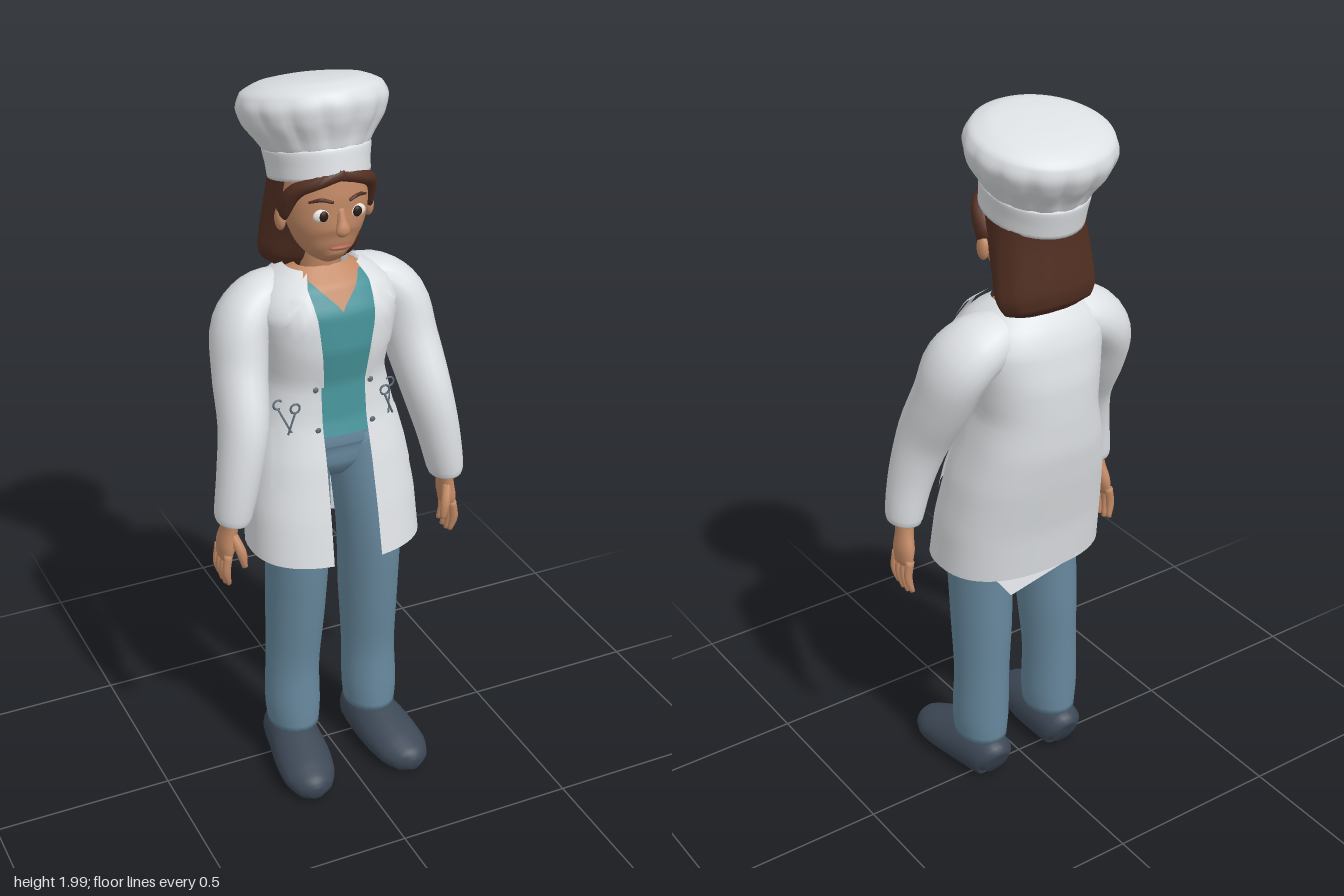
import * as THREE from 'three';
import { mergeVertices } from 'three/addons/utils/BufferGeometryUtils.js';

const mat = (name, color, side = THREE.FrontSide) => {
  const m = new THREE.MeshStandardMaterial({ color, side });
  m.name = name;
  return m;
};

// Sections of the coat, bottom up: y, half width, front z, back z, half opening
const SECTIONS = [
  [0.72, 0.24, 0.2, -0.15, 0.07], [0.85, 0.235, 0.175, -0.165, 0.068],
  [1.0, 0.215, 0.14, -0.195, 0.065], [1.1, 0.19, 0.11, -0.212, 0.063],
  [1.2, 0.168, 0.1, -0.215, 0.062], [1.3, 0.18, 0.118, -0.213, 0.07],
  [1.4, 0.2, 0.113, -0.193, 0.09], [1.46, 0.165, 0.08, -0.165, 0.095],
  [1.5, 0.1, 0.03, -0.12, 0.075],
];
const POWER = 2.4;

function section(y) {
  let i = 0;
  while (i < SECTIONS.length - 2 && y > SECTIONS[i + 1][0]) i++;
  const a = SECTIONS[i], b = SECTIONS[i + 1];
  const k = THREE.MathUtils.clamp((y - a[0]) / (b[0] - a[0]), 0, 1);
  return a.map((v, j) => v + (b[j] - v) * k);
}

// Front z of the coat at a given x and y
function coatZ(x, y) {
  const [, w, f, b] = section(y);
  const c = (f + b) / 2;
  return c + (f - c) * Math.max(0, 1 - (Math.abs(x) / w) ** POWER) ** (1 / POWER);
}

function meshGeometry(pos, idx) {
  const g = new THREE.BufferGeometry();
  g.setAttribute('position', new THREE.Float32BufferAttribute(pos, 3));
  g.setIndex(idx);
  const m = mergeVertices(g, 1e-5);
  m.computeVertexNormals();
  return m;
}

function gridIndex(rows, cols) {
  const idx = [];
  for (let i = 0; i < rows; i++) for (let j = 0; j < cols; j++) {
    const a = i * (cols + 1) + j, c = a + cols + 1;
    idx.push(a, a + 1, c, a + 1, c + 1, c);
  }
  return idx;
}

// Garment shell following the sections, open at the front where opening > 0
function shell(y0, y1, inset, opening) {
  const rows = 32, cols = 44, pos = [];
  for (let i = 0; i <= rows; i++) {
    const y = y0 + (y1 - y0) * i / rows;
    const [, w0, f, b, o] = section(y);
    const w = w0 - inset, c = (f + b) / 2, d = (f - b) / 2 - inset;
    const t0 = Math.asin(Math.min(1, opening(y, o) / w) ** (POWER / 2));
    for (let j = 0; j <= cols; j++) {
      const t = t0 + (2 * Math.PI - 2 * t0) * j / cols, s = Math.sin(t), k = Math.cos(t);
      pos.push(w * Math.sign(s) * Math.abs(s) ** (2 / POWER), y, c + d * Math.sign(k) * Math.abs(k) ** (2 / POWER));
    }
  }
  return meshGeometry(pos, gridIndex(rows, cols));
}

// Four-cornered cloth patch laid over the coat front
function patch(s, p00, p10, p01, p11, offset) {
  const n = 8, pos = [], mix = THREE.MathUtils.lerp;
  for (let i = 0; i <= n; i++) for (let j = 0; j <= n; j++) {
    const u = j / n, v = i / n;
    const x = mix(mix(p00[0], p10[0], u), mix(p01[0], p11[0], u), v);
    const y = mix(mix(p00[1], p10[1], u), mix(p01[1], p11[1], u), v);
    pos.push(s * x, y, coatZ(x, y) + offset);
  }
  const idx = gridIndex(n, n);
  return meshGeometry(pos, s > 0 ? idx : idx.reverse());
}

// Capped tube with elliptical rings; points are [x, y, z, rx, ry]
function limb(points, seg = 16, steps = 4, rule = () => 1) {
  const path = new THREE.CatmullRomCurve3(points.map(p => new THREE.Vector3(p[0], p[1], p[2])));
  const radii = new THREE.CatmullRomCurve3(points.map(p => new THREE.Vector3(p[3], p[4], 0)));
  const n = (points.length - 1) * steps, pos = [], idx = [];
  for (let i = 0; i <= n; i++) {
    const c = path.getPoint(i / n), r = radii.getPoint(i / n), T = path.getTangent(i / n);
    const X = new THREE.Vector3(1, 0, 0).addScaledVector(T, -T.x).normalize();
    const Y = T.clone().cross(X);
    for (let j = 0; j < seg; j++) {
      const a = j / seg * Math.PI * 2, k = rule(i / n, a);
      const p = c.clone().addScaledVector(X, r.x * k * Math.cos(a)).addScaledVector(Y, r.y * k * Math.sin(a));
      pos.push(p.x, p.y, p.z);
      if (i < n) {
        const A = i * seg + j, B = i * seg + (j + 1) % seg;
        idx.push(A, B, A + seg, B, B + seg, A + seg);
      }
    }
  }
  const start = pos.length / 3;
  pos.push(...points[0].slice(0, 3), ...points[points.length - 1].slice(0, 3));
  for (let j = 0; j < seg; j++) {
    const k = (j + 1) % seg;
    idx.push(start, k, j, start + 1, n * seg + j, n * seg + k);
  }
  return meshGeometry(pos, idx);
}

export function createModel() {
  const white = mat('white cloth', 0xdde0e3, THREE.DoubleSide);
  const skin = mat('skin', 0xc38a66), hair = mat('brown hair', 0x522f22);
  const teal = mat('teal shirt', 0x469399, THREE.DoubleSide), denim = mat('blue denim', 0x67889d);
  const shoeMat = mat('dark shoe', 0x3d4856), eyeWhite = mat('eye white', 0xe6dfd8);
  const iris = mat('dark iris', 0x2a1a14), lip = mat('lip', 0xa5624d), steel = mat('steel', 0x5d6c78);

  const root = new THREE.Group();
  const add = (name, geo, m, parent = root) => {
    const mesh = new THREE.Mesh(geo, m);
    mesh.name = name;
    parent.add(mesh);
    return mesh;
  };
  const ball = (name, m, x, y, z, sx, sy, sz) => {
    const b = add(name, new THREE.SphereGeometry(1, 16, 12), m);
    b.position.set(x, y, z);
    b.scale.set(sx, sy, sz);
  };

  // Clothing on the trunk
  add('coatBody', shell(0.72, 1.5, 0, (y, o) => o), white);
  add('shirt', shell(1.06, 1.485, 0.013, y => Math.max(0, (y - 1.41) * 1.0)), teal);
  add('chest', shell(1.3, 1.5, 0.028, () => 0), skin);
  add('pelvis', limb([[0, 1.14, -0.04, 0.14, 0.13], [0, 1.0, -0.03, 0.18, 0.135],
    [0, 0.94, -0.01, 0.15, 0.11], [0, 0.9, 0, 0.06, 0.06]], 24), denim);
  add('backHemFlap', meshGeometry([-0.1, 0.73, -0.145, 0.12, 0.67, -0.135, 0.17, 0.74, -0.115], [0, 2, 1]), white);

  // Neck, head and face
  add('neck', limb([[0, 1.36, -0.06, 0.075, 0.07], [0, 1.47, -0.05, 0.055, 0.052], [0, 1.6, -0.04, 0.052, 0.052]]), skin);
  add('head', limb([[0, 1.53, 0.035, 0.022, 0.028], [0, 1.55, 0.02, 0.058, 0.055], [0, 1.585, 0, 0.086, 0.086],
    [0, 1.63, -0.015, 0.106, 0.1], [0, 1.69, -0.03, 0.115, 0.114], [0, 1.76, -0.04, 0.114, 0.115],
    [0, 1.8, -0.05, 0.09, 0.09]], 28), skin);
  add('nose', limb([[0, 1.68, 0.076, 0.009, 0.008], [0, 1.65, 0.083, 0.012, 0.012],
    [0, 1.625, 0.09, 0.019, 0.013], [0, 1.612, 0.084, 0.012, 0.008]]), skin);
  ball('lips', lip, 0, 1.577, 0.075, 0.032, 0.007, 0.012);

  // Hair behind the head
  add('hair', limb([[0, 1.78, -0.06, 0.122, 0.13], [0, 1.69, -0.075, 0.127, 0.118], [0, 1.6, -0.1, 0.137, 0.098],
    [0, 1.535, -0.115, 0.142, 0.087], [0, 1.495, -0.125, 0.125, 0.068], [0, 1.48, -0.13, 0.08, 0.04]], 40, 5,
  (t, a) => 1 + 0.03 * t * Math.cos(10 * a)), hair);

  // Tall hat: gathered crown above a plain band
  const hat = new THREE.Group();
  hat.name = 'hat';
  hat.position.set(0, 1.73, -0.055);
  hat.rotation.x = -0.21;
  root.add(hat);
  add('hatBand', limb([[0, 0, 0, 0.128, 0.147], [0, 0.035, 0, 0.131, 0.147], [0, 0.07, 0, 0.137, 0.147],
    [0, 0.08, 0, 0.13, 0.14]], 40), white, hat);
  add('hatCrown', limb([[0, 0.07, 0, 0.134, 0.142], [0, 0.1, 0, 0.155, 0.153], [0, 0.14, 0, 0.184, 0.174],
    [0, 0.18, 0, 0.195, 0.184], [0, 0.215, 0, 0.18, 0.172], [0, 0.236, 0, 0.135, 0.13],
    [0, 0.245, 0, 0.06, 0.06], [0, 0.246, 0, 0.004, 0.004]], 80, 4,
  (t, a) => 1 - 0.06 * Math.max(0, 1 - Math.abs(t - 0.25) / 0.3) * Math.abs(Math.cos(7 * a)) ** 6), white, hat);

  for (const s of [1, -1]) {
    const side = s > 0 ? 'left' : 'right';
    const both = (name, pts, m, ...more) =>
      add(side + name, limb(pts.map(([x, ...rest]) => [s * x, ...rest]), ...more), m);

    // Eyes, brows, ears and fringe
    ball(side + 'Eye', eyeWhite, s * 0.047, 1.665, 0.068, 0.025, 0.018, 0.011);
    ball(side + 'Iris', iris, s * 0.046, 1.665, 0.075, 0.013, 0.014, 0.007);
    ball(side + 'Ear', skin, s * 0.122, 1.64, -0.02, 0.014, 0.032, 0.02);
    both('Brow', [[0.022, 1.7, 0.081, 0.004, 0.004], [0.05, 1.708, 0.074, 0.005, 0.005],
      [0.078, 1.7, 0.056, 0.003, 0.003]], hair, 8);
    both('Fringe', [[-0.01, 1.77, 0.075, 0.016, 0.016], [0.055, 1.752, 0.066, 0.017, 0.017],
      [0.1, 1.725, 0.03, 0.02, 0.02], [0.118, 1.66, -0.02, 0.014, 0.03]], hair, 12);

    // Sleeve and hand
    both('Sleeve', [[0.09, 1.425, -0.075, 0.06, 0.07], [0.165, 1.408, -0.07, 0.07, 0.092], [0.222, 1.355, -0.05, 0.075, 0.1],
      [0.245, 1.25, -0.01, 0.072, 0.09], [0.264, 1.12, 0.055, 0.066, 0.08], [0.29, 1.0, 0.08, 0.058, 0.068],
      [0.312, 0.885, 0.086, 0.049, 0.058], [0.313, 0.868, 0.086, 0.044, 0.053]], white, 20);
    both('Palm', [[0.314, 0.89, 0.08, 0.026, 0.03], [0.32, 0.84, 0.075, 0.022, 0.032],
      [0.328, 0.79, 0.068, 0.022, 0.043], [0.334, 0.75, 0.064, 0.014, 0.04]], skin);
    for (let i = 0; i < 4; i++) {
      const z = 0.03 + i * 0.023, tip = 0.665 + 0.008 * Math.abs(i - 1.5);
      both('Finger' + (i + 1), [[0.333, 0.77, z, 0.012, 0.012], [0.34, 0.72, z, 0.012, 0.011],
        [0.332, tip, z - 0.006, 0.007, 0.007]], skin, 8);
    }
    both('Thumb', [[0.32, 0.83, 0.09, 0.014, 0.014], [0.303, 0.78, 0.115, 0.014, 0.013],
      [0.295, 0.735, 0.118, 0.008, 0.008]], skin, 8);

    // Trouser leg and shoe
    both('TrouserLeg', [[0.095, 1.02, -0.015, 0.085, 0.115], [0.102, 0.88, 0.015, 0.09, 0.113], [0.107, 0.72, 0.032, 0.085, 0.107],
      [0.112, 0.5, 0.023, 0.08, 0.098], [0.118, 0.32, 0.016, 0.075, 0.085], [0.12, 0.2, 0.02, 0.077, 0.087],
      [0.12, 0.125, 0.022, 0.07, 0.087]], denim, 20);
    const shoe = both('Shoe', [[0.122, 0.05, -0.065, 0.035, 0.045], [0.122, 0.06, -0.045, 0.062, 0.07], [0.127, 0.064, 0.04, 0.073, 0.077],
      [0.136, 0.055, 0.12, 0.079, 0.066], [0.146, 0.044, 0.195, 0.074, 0.053], [0.151, 0.035, 0.245, 0.05, 0.04],
      [0.152, 0.03, 0.264, 0.02, 0.02]], shoeMat, 24);
    const p = shoe.geometry.attributes.position;
    for (let i = 0; i < p.count; i++) p.setY(i, Math.max(0, p.getY(i)));
    shoe.geometry.computeVertexNormals();

    // Lapel, collar, pocket and buttons
    add(side + 'Lapel', patch(s, [0.06, 1.21], [0.068, 1.21], [0.086, 1.47], [0.165, 1.38], 0.012), white);
    add(side + 'Collar', patch(s, [0.09, 1.465], [0.15, 1.41], [0.072, 1.5], [0.13, 1.46], 0.016), white);
    add(side + 'Pocket', patch(s, [0.075, 0.93], [0.205, 0.93], [0.075, 1.085], [0.18, 1.085], 0.009), white);
    for (const y of [1.09, 1.2]) ball(side + 'Button', steel, s * 0.078, y, coatZ(0.078, y) + 0.006, 0.008, 0.008, 0.004);

    // Scissors tucked into the pocket
    for (const k of [-1, 1]) {
      const x = 0.145 + k * 0.016, z = coatZ(x, 1.15) + 0.009;
      const ring = add(side + 'ScissorHandle', new THREE.TorusGeometry(0.013, 0.003, 6, 14), steel);
      ring.position.set(s * x, 1.15, z);
      both('ScissorBlade', [[x, 1.137, z, 0.003, 0.003], [0.145 - k * 0.006, 1.08, coatZ(0.145, 1.08) + 0.006, 0.003, 0.003]], steel, 6);
    }
  }
  add('breastPocket', patch(1, [0.095, 1.28], [0.155, 1.285], [0.1, 1.34], [0.165, 1.35], 0.008), white);
  return root;
}
